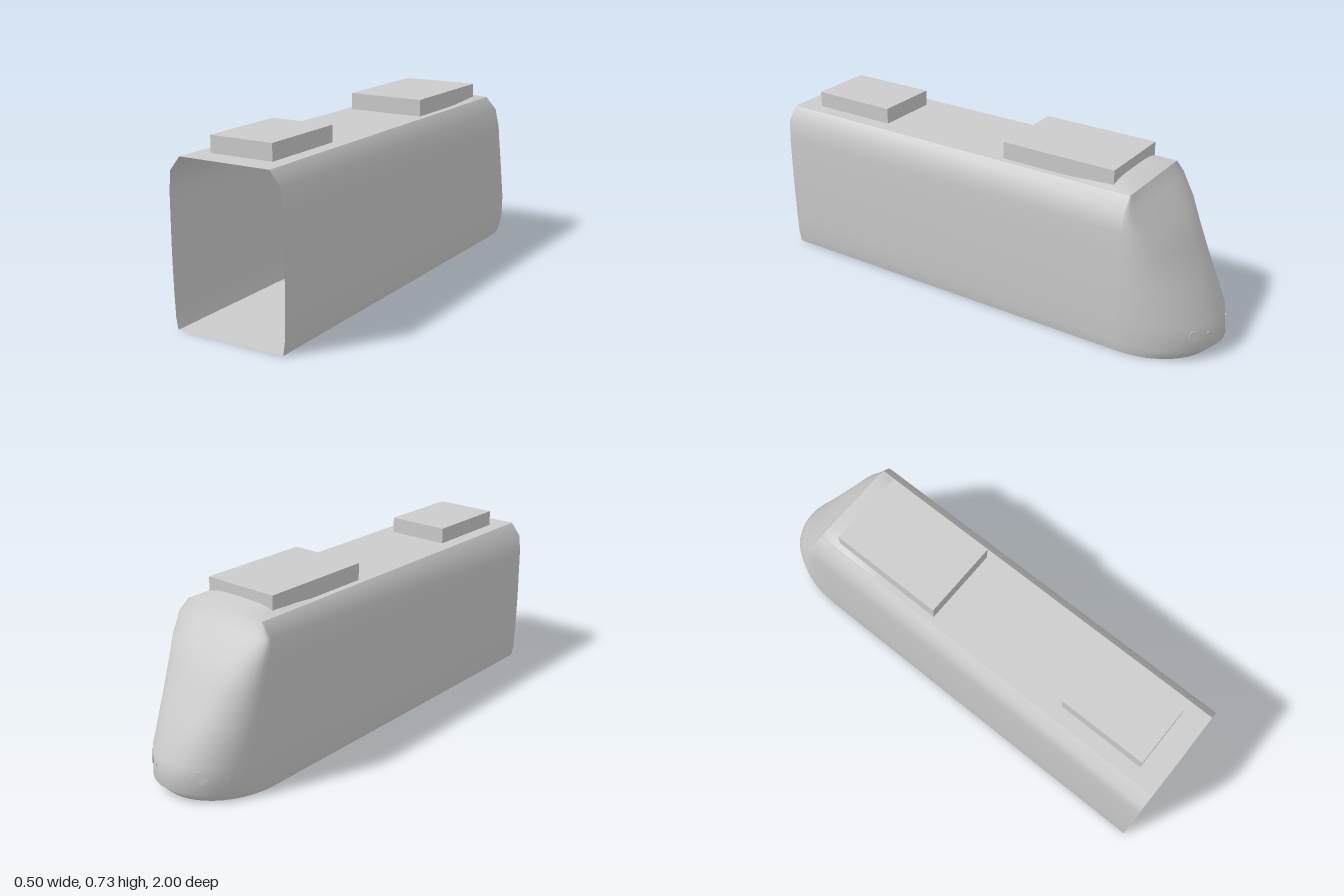
import * as THREE from 'three';

const shell = new THREE.MeshStandardMaterial({ color: 0xcccccc, side: THREE.DoubleSide });
shell.name = 'light grey';

const NOSE_Z = -0.67, REAR_Z = 1, ROOF_Y = 0.656;

// Half section of the car: height, half width, nose length, squareness of the nose plan
const SECTION = [
  [0, 0.235, 0.285, 2],
  [0.045, 0.243, 0.33, 2],
  [0.15, 0.247, 0.315, 2.1],
  [0.3, 0.249, 0.23, 2.3],
  [0.42, 0.248, 0.163, 2.5],
  [0.52, 0.247, 0.105, 2.8],
  [0.6, 0.24, 0.035, 3],
  [ROOF_Y, 0.195, 0, 3],
];

// Smooth skin through rings holding equal numbers of points
function loft(rings) {
  const n = rings[0].length, index = [];
  for (let r = 0; r < rings.length - 1; r++) {
    for (let i = 0; i < n - 1; i++) {
      const a = r * n + i, b = a + n;
      index.push(a, a + 1, b + 1, a, b + 1, b);
    }
  }
  const geometry = new THREE.BufferGeometry();
  geometry.setAttribute('position', new THREE.Float32BufferAttribute(rings.flat(2), 3));
  geometry.setIndex(index);
  geometry.computeVertexNormals();
  return geometry;
}

// Point on the nose at one section row; angle runs from +x round the tip to -x
function nosePoint([y, w, depth, n], angle) {
  const c = Math.cos(angle), s = Math.max(0, Math.sin(angle));
  return [
    w * Math.sign(c) * Math.abs(c) ** (2 / n), y,
    NOSE_Z - depth * s ** (2 / n),
  ];
}

function noseRing(row, steps = 24) {
  return Array.from({ length: steps + 1 }, (_, i) => nosePoint(row, (i / steps) * Math.PI));
}

export function createModel() {
  const model = new THREE.Group();
  const add = (name, geometry) => {
    const mesh = new THREE.Mesh(geometry, shell);
    mesh.name = name;
    model.add(mesh);
    return mesh;
  };

  // Side walls and flat roof, open at the rear
  const extrude = (points) =>
    loft([NOSE_Z, REAR_Z].map((z) => points.map(([x, y]) => [x, y, z])));
  add('leftWall', extrude(SECTION.map(([y, w]) => [w, y])));
  add('rightWall', extrude(SECTION.map(([y, w]) => [-w, y]).reverse()));
  add('roof', extrude([[0.195, ROOF_Y], [-0.195, ROOF_Y]]));

  // Sloping rounded nose
  add('nose', loft(SECTION.map((row) => noseRing(row))));

  // Floor, rounded under the nose
  const outline = noseRing(SECTION[0]).map(([x, , z]) => new THREE.Vector2(x, z));
  outline.push(new THREE.Vector2(-0.235, REAR_Z), new THREE.Vector2(0.235, REAR_Z));
  add('floor', new THREE.ShapeGeometry(new THREE.Shape(outline)).rotateX(Math.PI / 2));

  // Low fairing between the nose and the large roof unit
  const stations = [[NOSE_Z, 0], [-0.58, 0.028], [-0.5, 0.018], [-0.38, 0]];
  add('roofFairing', loft(stations.map(([z, h]) =>
    Array.from({ length: 13 }, (_, i) => {
      const t = 1 - i / 6;
      return [0.19 * t, ROOF_Y + 0.001 + h * (1 - t ** 4), z];
    }))));

  // Roof units
  for (const [name, w, z0, z1, top] of [
    ['largeRoofUnit', 0.334, -0.585, -0.09, 0.726],
    ['smallRoofUnit', 0.27, 0.525, 0.9, 0.722],
  ]) {
    const h = top - ROOF_Y;
    add(name, new THREE.BoxGeometry(w, h, z1 - z0))
      .position.set(0, ROOF_Y + h / 2, (z0 + z1) / 2);
  }

  // Five-sided lamps, almost flush with the nose
  const lampRow = [0.11, 0.2455, 0.32, 2.05];
  for (const side of [1, -1]) {
    for (const [name, angle, radius] of [['headlamp', 1.01, 0.028], ['markerLamp', 1.26, 0.007]]) {
      const [x, y, z] = nosePoint(lampRow, angle);
      const lamp = add(name, new THREE.CylinderGeometry(radius, radius, 0.008, 5));
      const normal = new THREE.Vector3(side * x / 0.06, 0.2, (z - NOSE_Z) / 0.1).normalize();
      lamp.position.set(side * x, y, z);
      lamp.quaternion.setFromUnitVectors(new THREE.Vector3(0, 1, 0), normal);
    }
  }

  return model;
}
